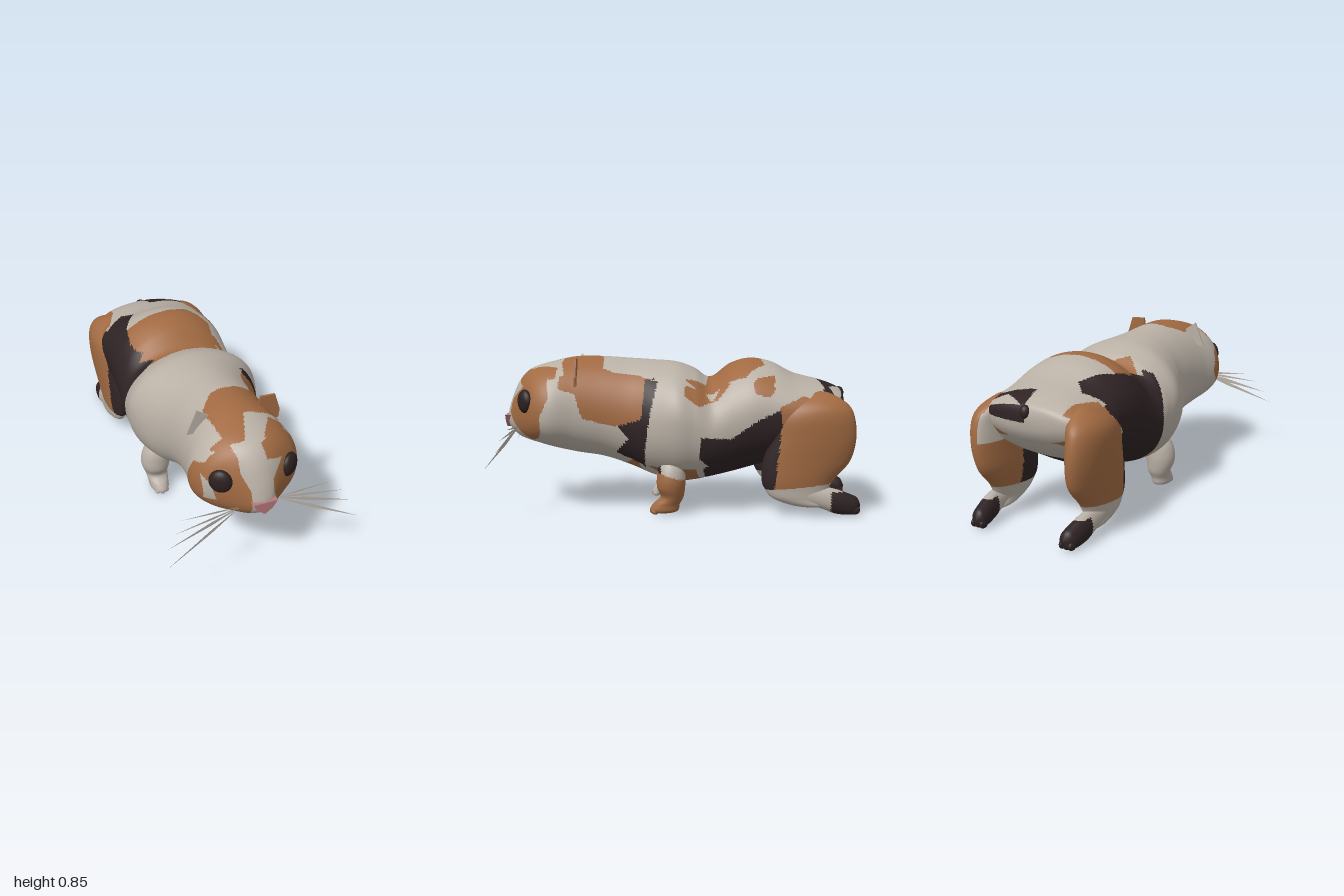
import * as THREE from 'three';

const mat = (name, color) => Object.assign(new THREE.MeshStandardMaterial({ color, side: THREE.DoubleSide }), { name });
const WHITE = 0, ORANGE = 1, BLACK = 2;

// Smooth value of every column of a key table at t in 0..1
function sample(keys, t) {
  const f = t * (keys.length - 1), i = Math.min(Math.floor(f), keys.length - 2), u = f - i;
  const k = (j) => keys[Math.max(0, Math.min(keys.length - 1, j))];
  return keys[0].map((_, c) => {
    const a = k(i - 1)[c], b = k(i)[c], d = k(i + 1)[c], e = k(i + 2)[c];
    const m0 = (d - a) / 2, m1 = (e - b) / 2;
    return b + u * (m0 + u * (3 * (d - b) - 2 * m0 - m1 + u * (2 * (b - d) + m0 + m1)));
  });
}

// Closed skin through rings, each triangle painted by a rule
function loft(keys, ring, rows, sides, paint) {
  const pos = [], faces = [[], [], []];
  for (let r = 0; r <= rows; r++) {
    const k = sample(keys, r / rows);
    for (let s = 0; s < sides; s++) pos.push(...ring(k, (s / sides) * Math.PI * 2));
  }
  const v = (i) => new THREE.Vector3().fromArray(pos, i * 3);
  const tri = (a, b, c) => {
    const t = new THREE.Triangle(v(a), v(b), v(c));
    if (t.getArea() < 1e-10) return;
    faces[paint(t.getMidpoint(new THREE.Vector3()), t.getNormal(new THREE.Vector3()))].push(a, b, c);
  };
  for (let r = 0; r < rows; r++) for (let s = 0; s < sides; s++) {
    const a = r * sides + s, b = r * sides + (s + 1) % sides, c = a + sides, d = b + sides;
    tri(a, c, b);
    tri(b, c, d);
  }
  const g = new THREE.BufferGeometry();
  g.setAttribute('position', new THREE.Float32BufferAttribute(pos, 3));
  g.setIndex(faces.flat());
  let start = 0;
  faces.forEach((f, i) => { if (f.length) g.addGroup(start, f.length, i); start += f.length; });
  g.computeVertexNormals();
  return g;
}

// Rings across z (z, top, bottom, half width, height of widest point, cx) and rings across y (y, cx, cz, rx, rz)
const pw = (v, e) => Math.sign(v) * Math.abs(v) ** e;
const zRing = (side) => ([z, top, bot, w, mid, cx = 0], a) => {
  const s = Math.sin(a), e = s > 0 ? 1 : 0.88;
  return [side * cx + w * pw(Math.cos(a), e), mid + (s > 0 ? top - mid : mid - bot) * pw(s, e), z];
};
const yRing = (side) => ([y, cx, cz, rx, rz], a) => [side * cx + rx * Math.cos(a), y, cz - rz * Math.sin(a)];

// Coat patches: colour, then outline points in the plane of each region
const PATCHES = {
  left: [ // z, y
    [ORANGE, .63, .86, .4, .9, .17, .87, .14, .74, .18, .6, .19, .5, .35, .49, .51, .53, .55, .66, .64, .69],
    [BLACK, .17, .74, .1, .73, .14, .58, .17, .37, .17, .25, .25, .3, .33, .34, .26, .42, .32, .49, .19, .53],
    [ORANGE, .35, .31, .25, .29, .17, .25, .08, .2, -.1, .17, 0, .1, .35, .1],
    [ORANGE, .9, .68, .8, .8, .71, .82, .69, .64, .74, .53, .78, .45, .88, .41, .96, .47],
    [ORANGE, -.04, .72, -.19, .78, -.33, .86, -.45, .86, -.4, .78, -.3, .73, -.22, .63, -.12, .6, -.04, .66],
    [ORANGE, -.41, .73, -.5, .76, -.53, .69, -.49, .65, -.42, .67],
    [BLACK, -.13, .44, -.29, .43, -.42, .52, -.58, .6, -.74, .5, -.74, .3, -.45, .15, -.32, .15, -.12, .32],
    [ORANGE, -.55, .6, -.65, .645, -.75, .7, -.84, .69, -.9, .6, -.88, .5, -.75, .45, -.57, .45],
    [BLACK, -.76, .74, -.84, .7, -.8, .66], [BLACK, -.85, .74, -.96, .7, -.95, .58, -.9, .6]],
  right: [ // z, y
    [BLACK, -.1, .7, -.15, .5, -.15, .28, -.2, .15, -.45, .15, -.7, .3, -.55, .5, -.7, .66, -.65, .76, -.3, .78],
    [ORANGE, .92, .68, .8, .7, .68, .66, .64, .55, .7, .45, .85, .4, .94, .42],
    [ORANGE, -.68, .78, -.66, .6, -.7, .4, -.88, .5, -.88, .72]],
  top: [ // x, z
    [ORANGE, -.25, -.45, -.05, -.46, .14, -.48, .24, -.37, .22, -.26, .26, -.1, .24, -.04, .18, -.16, 0, -.18, -.12, -.1, -.22, -.18, -.26, -.34],
    [BLACK, -.19, -.7, -.13, -.64, -.23, -.47, -.25, -.34, -.26, -.24, -.16, -.19, -.29, -.11, -.4, -.15, -.4, -.32, -.35, -.62],
    [BLACK, .01, -.92, .16, -.83, .33, -.87, .33, -.76, .2, -.8, .02, -.78],
    [ORANGE, -.4, -.67, -.27, -.68, -.21, -.8, -.2, -.9, -.4, -.95],
    [ORANGE, .22, -.53, .32, -.53, .32, -.42, .26, -.42],
    [BLACK, .22, .12, .32, .12, .32, .18, .22, .17],
    [ORANGE, .23, .18, .33, .18, .3, .4, .26, .6, .1, .63, .02, .62, -.04, .78, -.13, .78, -.15, .5, -.07, .41, .15, .4],
    [ORANGE, .05, .8, .14, .65, .3, .66, .27, .82, .08, .86],
    [ORANGE, -.3, .65, -.24, .72, -.13, .72, -.1, .84, -.26, .84]],
  bottom: [ // x, z
    [ORANGE, -.2, .15, -.15, .33, .08, .3, .2, .24, .35, .1, .3, -.1, 0, -.16, -.25, -.1],
    [WHITE, .03, .13, .12, .19, .23, .21, .22, .1, .1, .1],
    [BLACK, .2, .17, .35, .12, .35, .35, .24, .32],
    [BLACK, -.03, .01, .02, .01, .02, .07, -.03, .07],
    [BLACK, -.4, -.15, 0, -.18, .4, -.13, .4, -.74, .1, -.74, -.4, -.6]],
  front: [ // x, y
    [ORANGE, -.13, .8, -.1, .74, -.1, .67, -.06, .58, -.05, .37, -.15, .36, -.3, .42, -.32, .55, -.27, .64, -.2, .75],
    [ORANGE, .03, .78, .2, .8, .25, .7, .3, .6, .3, .42, .24, .37, .14, .4, .1, .46, .06, .55, .06, .62, .13, .69, .04, .72],
    [ORANGE, -.15, .79, -.04, .8, .13, .8, .13, .9, -.15, .9],
    [WHITE, -.26, .63, -.23, .6, -.2, .5, -.25, .49]],
};

function inside(p, x, y) {
  let hit = false;
  for (let i = 1, j = p.length - 2; i < p.length; j = i, i += 2)
    if ((p[i + 1] > y) !== (p[j + 1] > y) && x < ((p[j] - p[i]) * (y - p[i + 1])) / (p[j + 1] - p[i + 1]) + p[i]) hit = !hit;
  return hit;
}

function coat(c, n) {
  let region = c.x > 0 ? 'left' : 'right', u = c.z, v = c.y;
  if (n.z > 0.38 && c.z > 0.6) [region, u, v] = ['front', c.x, c.y];
  else if (Math.abs(n.y) > 0.7) [region, u, v] = [n.y > 0 ? 'top' : 'bottom', c.x, c.z];
  return PATCHES[region].reduce((col, p) => (inside(p, u, v) ? p[0] : col), WHITE);
}

const BODY = [
  [.948, .52, .5, 0, .51], [.94, .555, .47, .04, .51], [.92, .62, .44, .07, .52], [.88, .71, .405, .12, .54],
  [.83, .77, .385, .19, .55], [.77, .8, .37, .257, .55], [.68, .825, .345, .288, .55], [.55, .85, .315, .265, .55],
  [.4, .85, .29, .258, .54], [.25, .84, .24, .278, .51], [.13, .832, .19, .33, .49], [0, .82, .155, .372, .52],
  [-.1, .785, .16, .362, .49], [-.19, .735, .18, .35, .45], [-.3, .81, .205, .342, .5], [-.41, .84, .235, .342, .55],
  [-.53, .82, .27, .338, .56], [-.65, .76, .33, .34, .56], [-.8, .72, .41, .325, .57], [-.87, .695, .48, .28, .59],
  [-.91, .67, .54, .19, .61], [-.925, .62, .61, 0, .615]];
const FORELEG = [
  [.35, .21, .03, 0, 0], [.325, .215, .03, .045, .045], [.26, .232, .03, .078, .072], [.2, .243, .03, .084, .078],
  [.15, .245, .03, .078, .076], [.1, .24, .025, .064, .063], [.06, .24, .055, .056, .073], [.02, .24, .07, .048, .074],
  [.005, .24, .07, 0, 0]];
const THIGH = [
  [.68, .23, -.76, 0, 0], [.665, .235, -.76, .04, .07], [.61, .265, -.755, .078, .165], [.54, .28, -.745, .089, .21],
  [.42, .278, -.735, .088, .23], [.3, .27, -.7, .083, .235], [.2, .272, -.655, .07, .195], [.15, .275, -.65, .06, .172],
  [.1, .28, -.66, .05, .14], [.06, .28, -.73, .04, .1], [.045, .28, -.76, 0, 0]];
const HINDFOOT = [
  [-.62, .13, .12, 0, .125, .285], [-.66, .18, .08, .04, .13, .285], [-.78, .165, .045, .043, .1, .285],
  [-.86, .15, .015, .046, .08, .28], [-.94, .12, .006, .046, .06, .27], [-.98, .1, .015, .035, .055, .265],
  [-1, .06, .05, 0, .055, .262]];

export function createModel() {
  const group = new THREE.Group();
  const fur = [mat('cream fur', 0xb9b0a5), mat('orange fur', 0xa16a42), mat('black fur', 0x2f2324)];
  const eyeMat = mat('dark eye', 0x2c2020), noseMat = mat('pink nose', 0xb5777b);
  const add = (name, geo, material) => {
    const m = new THREE.Mesh(geo, material);
    m.name = name;
    group.add(m);
    return m;
  };
  const ball = (name, material, p, r, turn = 0) => {
    const m = add(name, new THREE.SphereGeometry(1, 24, 16), material);
    m.position.set(...p);
    m.scale.set(...r);
    m.rotation.y = turn;
  };
  const plate = (name, pts, depth, z, material) => {
    const shape = new THREE.Shape(pts.map((p) => new THREE.Vector2(...p)));
    add(name, new THREE.ExtrudeGeometry(shape, { depth, bevelEnabled: false }), material).position.z = z;
  };

  add('body', loft(BODY, zRing(1), 260, 160, coat), fur);

  for (const s of [1, -1]) {
    const side = s > 0 ? 'left' : 'right';
    // Legs
    add(side + 'FrontLeg', loft(FORELEG, yRing(s), 56, 40, (c) => (s > 0 && c.y < 0.21 + c.z * 0.3 ? ORANGE : s > 0 && c.z > 0.085 ? BLACK : WHITE)), fur);
    add(side + 'HindLeg', loft(THIGH, yRing(s), 80, 64, (c, n) => {
      if (c.y < 0.1 - c.z * 0.1) return WHITE;
      if (s > 0 && n.x < -0.4) return c.y > 0.45 ? WHITE : c.z > -0.68 ? BLACK : ORANGE;
      return c.z > -0.53 - 0.1 * (c.y - 0.2) && c.y < 0.62 ? BLACK : ORANGE;
    }), fur);
    add(side + 'HindFoot', loft(HINDFOOT, zRing(s), 40, 28, (c) => (c.z < -0.83 && c.y < 0.135 ? BLACK : WHITE)), fur);
    // Toes
    for (const i of [-1, 0, 1]) {
      ball(side + 'FrontToe', fur[s > 0 ? ORANGE : WHITE], [s * 0.24 + i * 0.026, 0.02, 0.127 - Math.abs(i) * 0.01], [0.015, 0.016, 0.02]);
      ball(side + 'HindToe', fur[BLACK], [s * 0.266 + i * 0.026, 0.035, -0.965], [0.016, 0.025, 0.03]);
    }
    ball(side + 'Eye', eyeMat, [s * 0.183, 0.615, 0.825], [0.06, 0.065, 0.034], s * 0.62);
    // Whiskers
    for (const [x, y, z, w] of [[.52, .3, .99, .011], [.5, .375, .94, .011], [.46, .44, .92, .007], [.41, .49, .89, .006]]) {
      const mid = [.095 + (x - .095) * .4, .465 + (y - .465) * .4, .875 + (z - .875) * .4];
      const g = new THREE.BufferGeometry().setFromPoints([
        [.095, .465, .875], [mid[0], mid[1] - w, mid[2]], [x, y, z], [mid[0], mid[1] + w, mid[2]],
      ].map(([a, b, c]) => new THREE.Vector3(s * a, b, c)));
      g.setIndex(s > 0 ? [0, 1, 2, 0, 2, 3] : [0, 2, 1, 0, 3, 2]);
      g.computeVertexNormals();
      add(side + 'Whisker', g, fur[WHITE]);
    }
  }

  // Ears, nose and tail
  plate('rightEar', [[-.255, .72], [-.13, .72], [-.13, .805], [-.2, .852]], 0.012, 0.54, fur[WHITE]);
  plate('leftEar', [[.13, .72], [.25, .7], [.256, .75], [.226, .846], [.145, .85]], 0.012, 0.54, fur[ORANGE]);
  plate('nose', [[-.065, .525], [-.04, .485], [0, .455], [.04, .485], [.065, .525]], 0.045, 0.912, noseMat);
  ball('tail', fur[BLACK], [0, 0.645, -0.912], [0.028, 0.035, 0.028]);
  return group;
}
